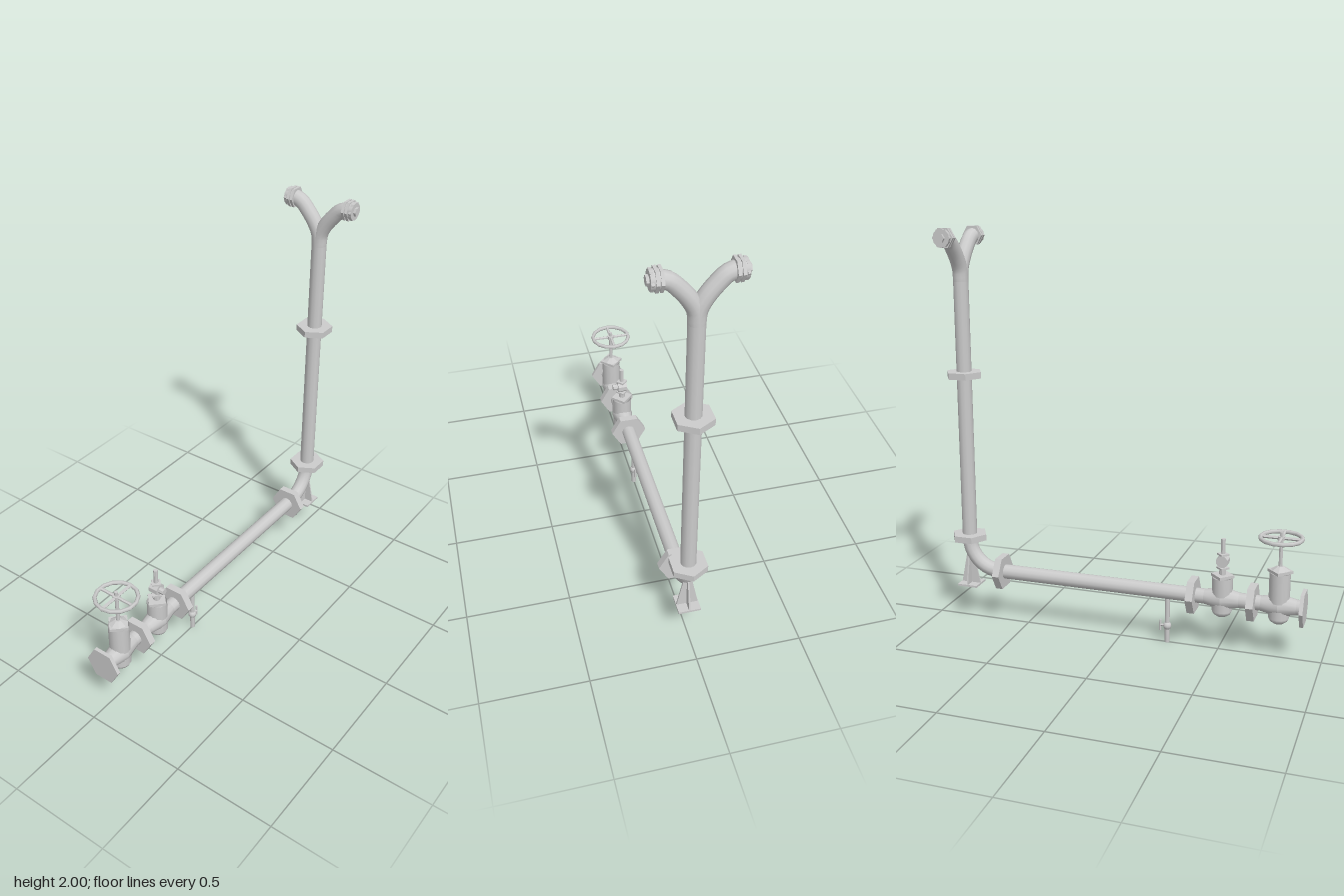
import * as THREE from 'three';

const smooth = new THREE.MeshStandardMaterial({ color: 0xcccccc, side: THREE.DoubleSide });
const flat = new THREE.MeshStandardMaterial({ color: 0xcccccc, flatShading: true });
const PIPE = 0.037, AXIS_Y = 0.265, RISER_X = 0.818;

function add(parent, name, geometry, material, x = 0, y = 0, z = 0) {
  const mesh = new THREE.Mesh(geometry, material);
  mesh.name = name;
  mesh.position.set(x, y, z);
  parent.add(mesh);
  return mesh;
}

// Cylinder or prism running from one coordinate to another along an axis
function rod(parent, name, axis, from, to, r, a, b, sides = 12, start = 0, rEnd = r) {
  const g = new THREE.CylinderGeometry(rEnd, r, to - from, sides, 1, false, start);
  if (axis === 'x') g.rotateZ(-Math.PI / 2);
  if (axis === 'z') g.rotateX(Math.PI / 2);
  const m = (from + to) / 2;
  const p = { x: [m, a, b], y: [a, m, b], z: [a, b, m] }[axis];
  return add(parent, name, g, sides <= 8 ? flat : smooth, ...p);
}

// Valve casing with domed bottom, square bonnet plate and side necks
function valveBody(parent, x, top, plate) {
  const pts = [[0, 0.174], [0.025, 0.177], [0.043, 0.19], [0.05, 0.205], [0.05, top]];
  add(parent, 'valveBody', new THREE.LatheGeometry(pts.map(p => new THREE.Vector2(...p)), 14), smooth, x);
  rod(parent, 'bonnetPlate', 'y', top, top + 0.014, plate, x, 0, 4);
  rod(parent, 'leftNeck', 'x', x, x + 0.085, 0.055, AXIS_Y, 0, 12, 0, PIPE);
  rod(parent, 'rightNeck', 'x', x - 0.085, x, PIPE, AXIS_Y, 0, 12, 0, 0.055);
}

export function createModel() {
  const model = new THREE.Group();
  model.name = 'standpipe';
  const group = name => {
    const g = new THREE.Group();
    g.name = name;
    model.add(g);
    return g;
  };

  // Main pipes and elbow
  const pipes = group('pipes');
  rod(pipes, 'horizontalPipe', 'x', -0.9, 0.658, PIPE, AXIS_Y, 0);
  rod(pipes, 'riserPipe', 'y', 0.425, 1.78, PIPE, RISER_X, 0);
  const bend = new THREE.CurvePath();
  const V = (x, y, z = 0) => new THREE.Vector3(x, y, z);
  bend.add(new THREE.CubicBezierCurve3(
    V(0.655, AXIS_Y), V(0.745, AXIS_Y), V(RISER_X, 0.338), V(RISER_X, 0.428)));
  add(pipes, 'elbow', new THREE.TubeGeometry(bend, 10, PIPE, 12), smooth);

  // Hexagonal flanges
  for (const [x, w] of [[-0.905, 0.018], [-0.663, 0.036], [-0.37, 0.036], [0.64, 0.036]])
    rod(pipes, 'pipeFlange', 'x', x - w / 2, x + w / 2, 0.092, AXIS_Y, 0, 6);
  for (const y of [0.438, 1.282])
    rod(pipes, 'riserFlange', 'y', y - 0.016, y + 0.016, 0.092, RISER_X, 0, 6, Math.PI / 6);

  // Gate valve with handwheel
  const gate = group('gateValve'), gx = -0.79;
  valveBody(gate, gx, 0.43, 0.061);
  rod(gate, 'bonnet', 'y', 0.444, 0.462, 0.045, gx, 0, 8, 0, 0.015);
  rod(gate, 'spindle', 'y', 0.45, 0.63, 0.009, gx, 0, 8);
  const wheel = new THREE.TorusGeometry(0.099, 0.01, 6, 14).rotateX(Math.PI / 2);
  add(gate, 'handwheelRim', wheel, smooth, gx, 0.6);
  rod(gate, 'handwheelHub', 'y', 0.591, 0.609, 0.018, gx, 0, 8);
  rod(gate, 'handwheelSpoke', 'x', gx - 0.098, gx + 0.098, 0.008, 0.6, 0, 6);
  rod(gate, 'handwheelSpoke', 'z', -0.098, 0.098, 0.008, gx, 0.6, 6);

  // Smaller control valve
  const control = group('controlValve'), cx = -0.515;
  valveBody(control, cx, 0.374, 0.057);
  rod(control, 'lowerStem', 'y', 0.386, 0.42, 0.017, cx, 0, 8);
  rod(control, 'lowerCollar', 'y', 0.416, 0.425, 0.032, cx, 0, 4);
  rod(control, 'ballHousing', 'z', -0.024, 0.024, 0.03, cx, 0.456, 8, Math.PI / 8);
  rod(control, 'housingCap', 'z', 0.024, 0.05, 0.016, cx, 0.456, 8);
  rod(control, 'upperCollar', 'y', 0.484, 0.493, 0.03, cx, 0, 4);
  rod(control, 'upperStem', 'y', 0.42, 0.567, 0.011, cx, 0, 8);

  // Drain tap under the horizontal pipe
  const drain = group('drainTap'), dx = -0.243;
  rod(drain, 'drainPipe', 'y', 0, 0.245, 0.012, dx, 0, 10);
  add(drain, 'drainBall', new THREE.SphereGeometry(0.021, 10, 8), smooth, dx, 0.086);
  rod(drain, 'tapStem', 'x', dx, -0.207, 0.006, 0.086, 0, 6);
  rod(drain, 'tapHandle', 'y', 0.058, 0.114, 0.006, -0.208, 0, 6);

  // Elbow support: base plate with two crossed tapering webs
  const support = group('support');
  add(support, 'basePlate', new THREE.BoxGeometry(0.106, 0.01, 0.106), flat, RISER_X, 0.181);
  const web = new THREE.Shape([[-0.052, 0.18], [0.052, 0.18], [0.02, 0.335], [-0.02, 0.335]]
    .map(p => new THREE.Vector2(...p)));
  for (const turn of [0, Math.PI / 2]) {
    const g = new THREE.ExtrudeGeometry(web, { depth: 0.008, bevelEnabled: false });
    g.translate(0, 0, -0.004).rotateY(turn);
    add(support, 'web', g, flat, RISER_X);
  }

  // Forked outlet with two capped couplings
  for (const s of [1, -1]) {
    const arm = group(s > 0 ? 'frontOutlet' : 'backOutlet');
    const path = new THREE.CatmullRomCurve3([[0, 1.74], [0.006, 1.8], [0.032, 1.852],
      [0.072, 1.903], [0.112, 1.942], [0.155, 1.957]].map(([z, y]) => V(RISER_X, y, s * z)));
    add(arm, 'outletPipe', new THREE.TubeGeometry(path, 14, PIPE, 12), smooth);
    const ring = (name, a, b, r, sides) => rod(arm, name, 'z',
      Math.min(s * a, s * b), Math.max(s * a, s * b), r, RISER_X, 1.955, sides, Math.PI / 6);
    ring('innerRing', 0.137, 0.15, 0.052, 6);
    ring('couplingCore', 0.145, 0.188, 0.043, 12);
    ring('middleRing', 0.156, 0.169, 0.052, 6);
    ring('outerRing', 0.175, 0.187, 0.046, 6);
    ring('capNut', 0.185, 0.2, 0.022, 6);
  }
  return model;
}
